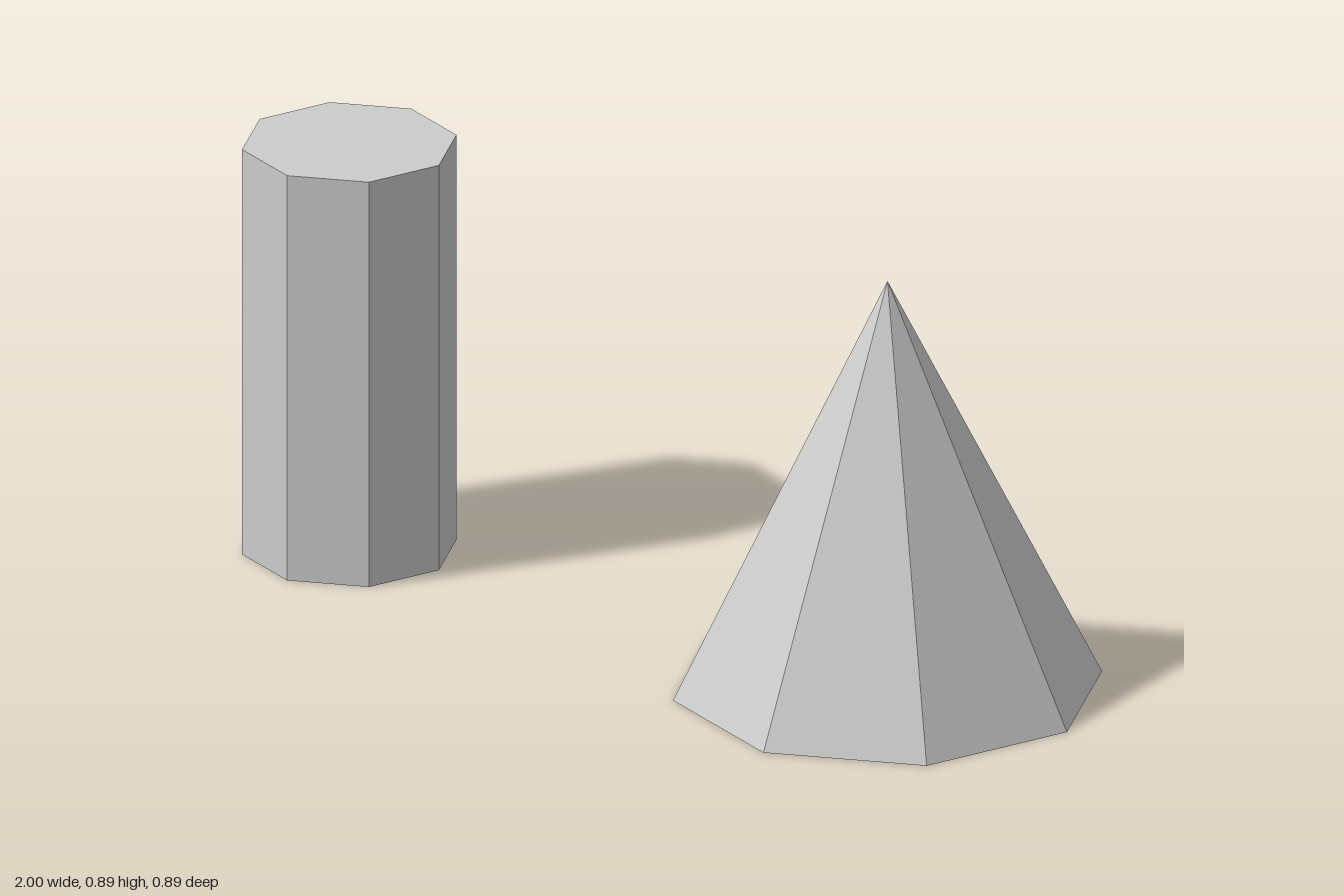
import * as THREE from 'three';

const SIDES = 8;
const HEIGHT = 8 / 9;

export function createModel() {
  const model = new THREE.Group();
  model.name = 'primitiveShapes';

  const grey = new THREE.MeshStandardMaterial({ color: 0xcccccc, flatShading: true });
  grey.name = 'light grey';

  // Place a solid with its base on the ground
  const addSolid = (name, geometry, x) => {
    const mesh = new THREE.Mesh(geometry, grey);
    mesh.name = name;
    mesh.position.set(x, HEIGHT / 2, 0);
    model.add(mesh);
  };

  // Octagonal column, closed at both ends
  addSolid('column', new THREE.CylinderGeometry(2 / 9, 2 / 9, HEIGHT, SIDES), -7 / 9);

  // Eight-sided cone with a closed base
  addSolid('cone', new THREE.ConeGeometry(4 / 9, HEIGHT, SIDES), 5 / 9);

  return model;
}
